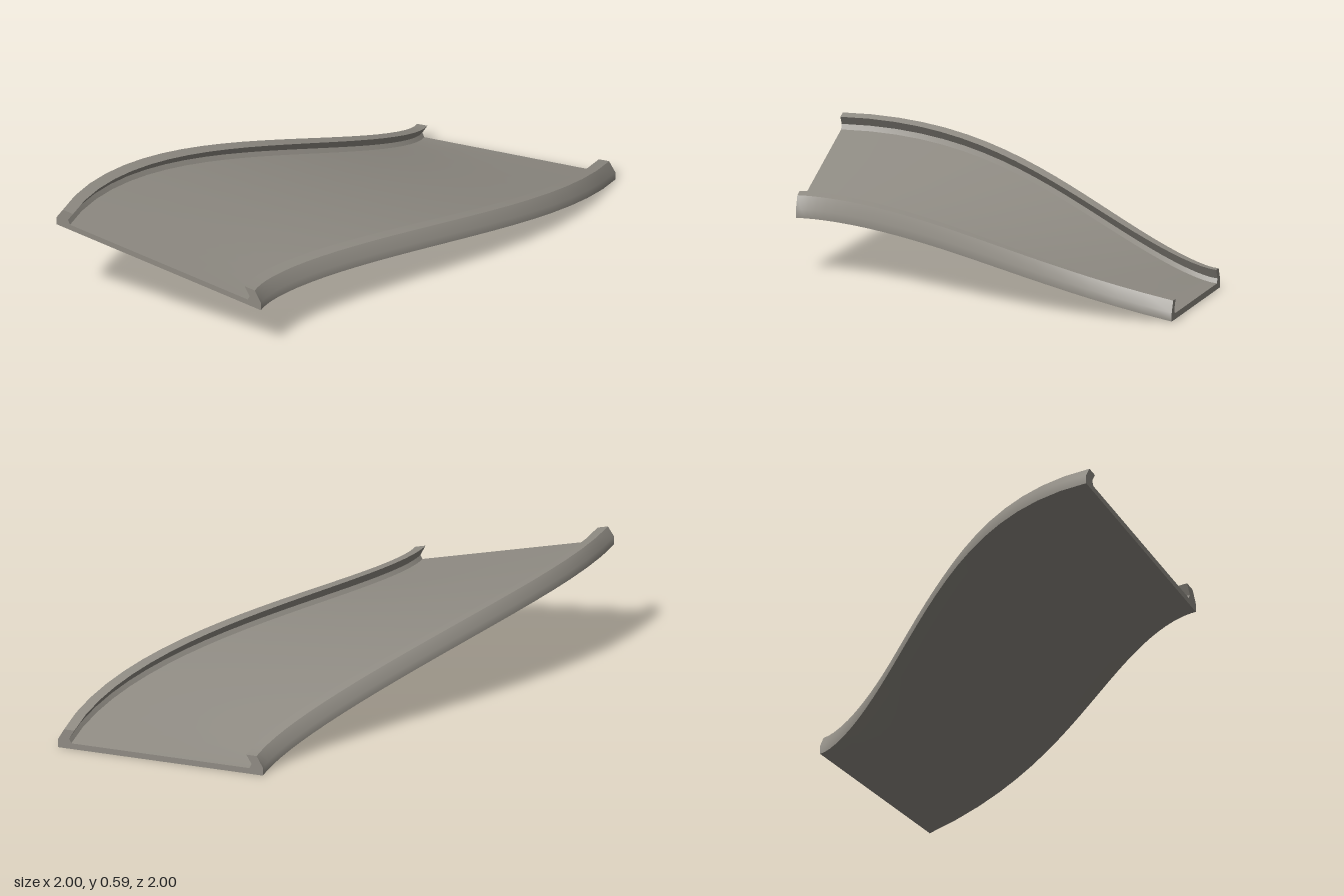
import * as THREE from 'three';

const SEGMENTS = 24;
const concrete = new THREE.MeshStandardMaterial({ color: 0x8f8b83 });
concrete.name = 'warmGrey';

// Centre line is an S curve; each section stands square to it and banks along the way.
// u runs across the deck (-0.5 to 0.5), h is the height above its underside.
function place(t, u, h) {
  const ease = t * t * (3 - 2 * t);
  const slope = 3 * t * (1 - t);
  const n = Math.hypot(1, slope);
  const highSide = 0.5 * ease;
  const lowSide = 0.25 * (1 - (1 - t) ** 3);
  return [
    0.5 - ease + u / n,
    THREE.MathUtils.lerp(highSide, lowSide, u + 0.5) + h,
    2 * t - 1 + (u * slope) / n,
  ];
}

// Sweeps clockwise section strips along the curve; each strip is smooth, edges between strips are sharp.
function sweep(name, strips) {
  const positions = [];
  const index = [];
  for (const strip of strips) {
    const base = positions.length / 3;
    const count = strip.length;
    for (let i = 0; i <= SEGMENTS; i++) {
      for (const [u, h] of strip) positions.push(...place(i / SEGMENTS, u, h));
    }
    for (let i = 0; i < SEGMENTS; i++) {
      for (let j = 0; j < count - 1; j++) {
        const a = base + i * count + j;
        const c = a + count;
        index.push(a, c, a + 1, a + 1, c, c + 1);
      }
    }
  }

  // Flat end faces
  const outline = [];
  for (const p of strips.flat()) {
    if (!outline.some((q) => q[0] === p[0] && q[1] === p[1])) outline.push(p);
  }
  const contour = outline.map(([u, h]) => new THREE.Vector2(u, h)).reverse();
  const faces = THREE.ShapeUtils.triangulateShape(contour, []);
  for (const t of [0, 1]) {
    const base = positions.length / 3;
    for (const p of contour) positions.push(...place(t, p.x, p.y));
    for (const [a, b, c] of faces) {
      if (t === 1) index.push(base + a, base + b, base + c);
      else index.push(base + a, base + c, base + b);
    }
  }

  const geometry = new THREE.BufferGeometry();
  geometry.setAttribute('position', new THREE.Float32BufferAttribute(positions, 3));
  geometry.setIndex(index);
  geometry.computeVertexNormals();
  const mesh = new THREE.Mesh(geometry, concrete);
  mesh.name = name;
  return mesh;
}

export function createModel() {
  const model = new THREE.Group();
  model.name = 'curvedTrack';

  // Thin banked road deck
  const inner = 0.435;
  const thick = 0.028;
  model.add(sweep('deck', [
    [[-inner, thick], [0, thick], [inner, thick]],
    [[inner, 0], [0, 0], [-inner, 0]],
  ]));

  // Raised rims: bevelled outside, flat top, undercut inside
  const rim = [
    [[-inner, 0], [-0.5, 0]],
    [[-0.5, 0], [-0.5, 0.04], [-0.47, 0.093]],
    [[-0.47, 0.093], [-0.42, 0.093]],
    [[-0.42, 0.093], [-0.445, 0.05]],
    [[-0.445, 0.05], [-inner, thick]],
  ];
  const mirrored = rim.map((s) => s.map(([u, h]) => [-u, h]).reverse()).reverse();
  model.add(sweep('rightRim', rim), sweep('leftRim', mirrored));

  return model;
}
